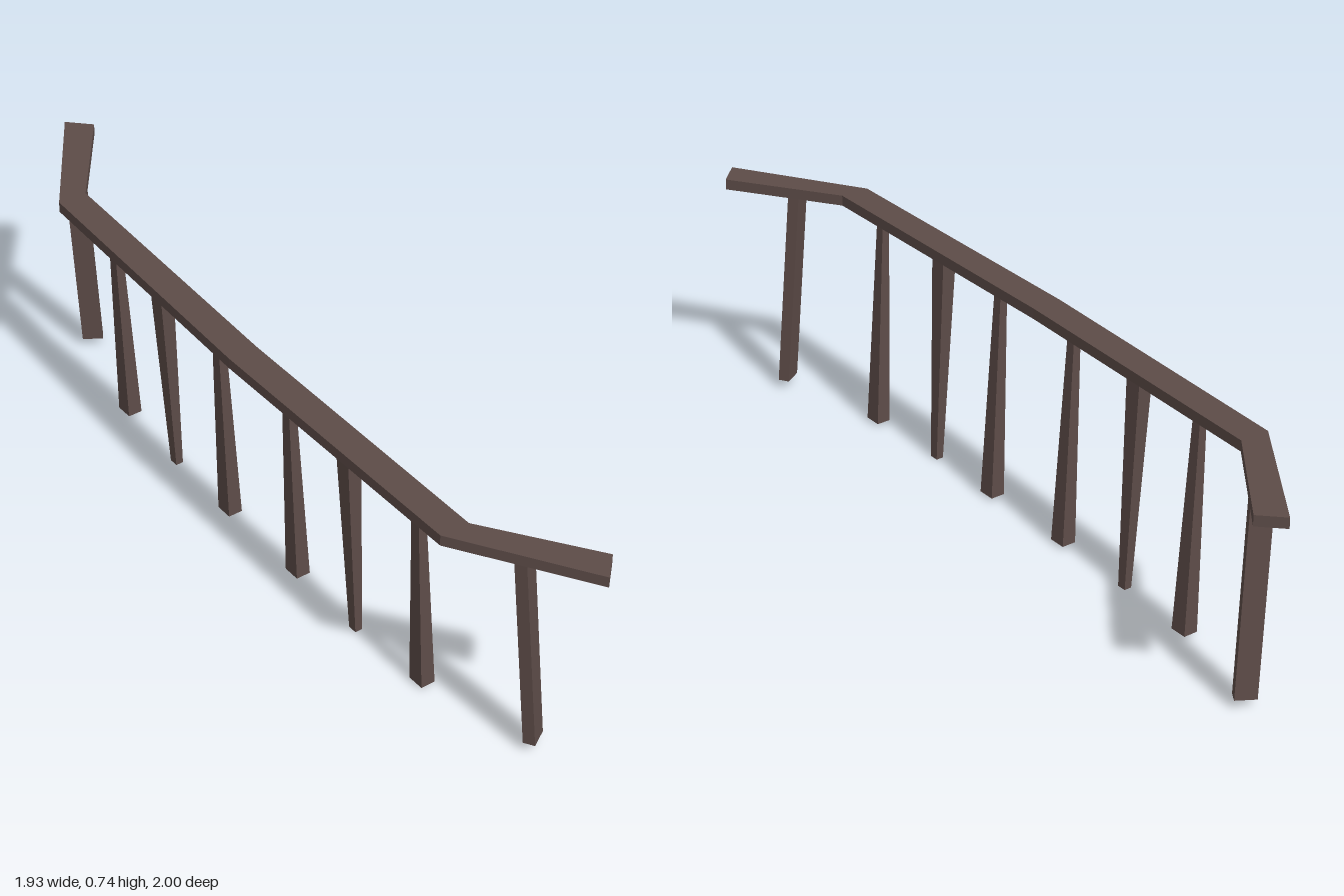
import * as THREE from 'three';

const RAIL_BOTTOM = 0.7, RAIL_TOP = 0.735;

export function createModel() {
  const group = new THREE.Group();
  const wood = new THREE.MeshStandardMaterial({ color: 0x5d4c48, flatShading: true });

  // Bent handrail: plan outline as [x, z], extruded upwards
  const outline = [
    [-0.967, -1], [-0.88, -0.535], [-0.21, 0.19], [0.5, 0.895], [0.967, 0.998],
    [0.967, 0.9], [0.57, 0.83], [-0.14, 0.12], [-0.81, -0.6], [-0.87, -1],
  ];
  const shape = new THREE.Shape(outline.map(([x, z]) => new THREE.Vector2(x, -z)));
  const railGeometry = new THREE.ExtrudeGeometry(shape, { depth: RAIL_TOP - RAIL_BOTTOM, bevelEnabled: false });
  railGeometry.rotateX(-Math.PI / 2).translate(0, RAIL_BOTTOM, 0);
  const rail = new THREE.Mesh(railGeometry, wood);
  rail.name = 'handrail';
  group.add(rail);

  // Leaning, tapered post: plan centres [x, z] and sizes [along, across] at both ends
  function addPost(name, top, bottom, topSize, bottomSize, bottomY, yaw) {
    const geometry = new THREE.BoxGeometry(1, 1, 1);
    const p = geometry.attributes.position;
    const c = Math.cos(yaw), s = Math.sin(yaw);
    for (let i = 0; i < p.count; i++) {
      const upper = p.getY(i) > 0;
      const centre = upper ? top : bottom;
      const size = upper ? topSize : bottomSize;
      const u = p.getX(i) * size[0], v = p.getZ(i) * size[1];
      p.setXYZ(i, centre[0] + u * c - v * s, upper ? RAIL_BOTTOM + 0.005 : bottomY, centre[1] + u * s + v * c);
    }
    geometry.computeVertexNormals();
    const post = new THREE.Mesh(geometry, wood);
    post.name = name;
    group.add(post);
  }

  // Middle posts, alternately flared at the foot and narrowed at the foot
  const wide = [0.058, 0.048], narrow = [0.031, 0.025];
  const middle = [
    { top: [-0.683, -0.435], bottom: [-0.663, -0.458], flared: true },
    { top: [-0.49, -0.203], bottom: [-0.465, -0.228], flared: false },
    { top: [-0.275, 0.01], bottom: [-0.253, -0.006], flared: true },
    { top: [-0.02, 0.275], bottom: [0.002, 0.253], flared: true },
    { top: [0.188, 0.495], bottom: [0.212, 0.473], flared: false },
    { top: [0.415, 0.698], bottom: [0.437, 0.678], flared: true },
  ];
  middle.forEach(({ top, bottom, flared }, i) => {
    addPost(`middlePost${i + 1}`, top, bottom, flared ? narrow : wide,
      flared ? wide : narrow, flared ? 0.01 : 0, Math.PI / 4);
  });

  // End posts under the two bent ends of the rail
  const endSize = [0.037, 0.067], turn = 0.23;
  addPost('endPostRight', [-0.882, -0.76], [-0.863, -0.81], endSize, endSize, 0.03, Math.PI / 2 - turn);
  addPost('endPostLeft', [0.732, 0.909], [0.781, 0.89], endSize, endSize, 0.03, turn);

  return group;
}
